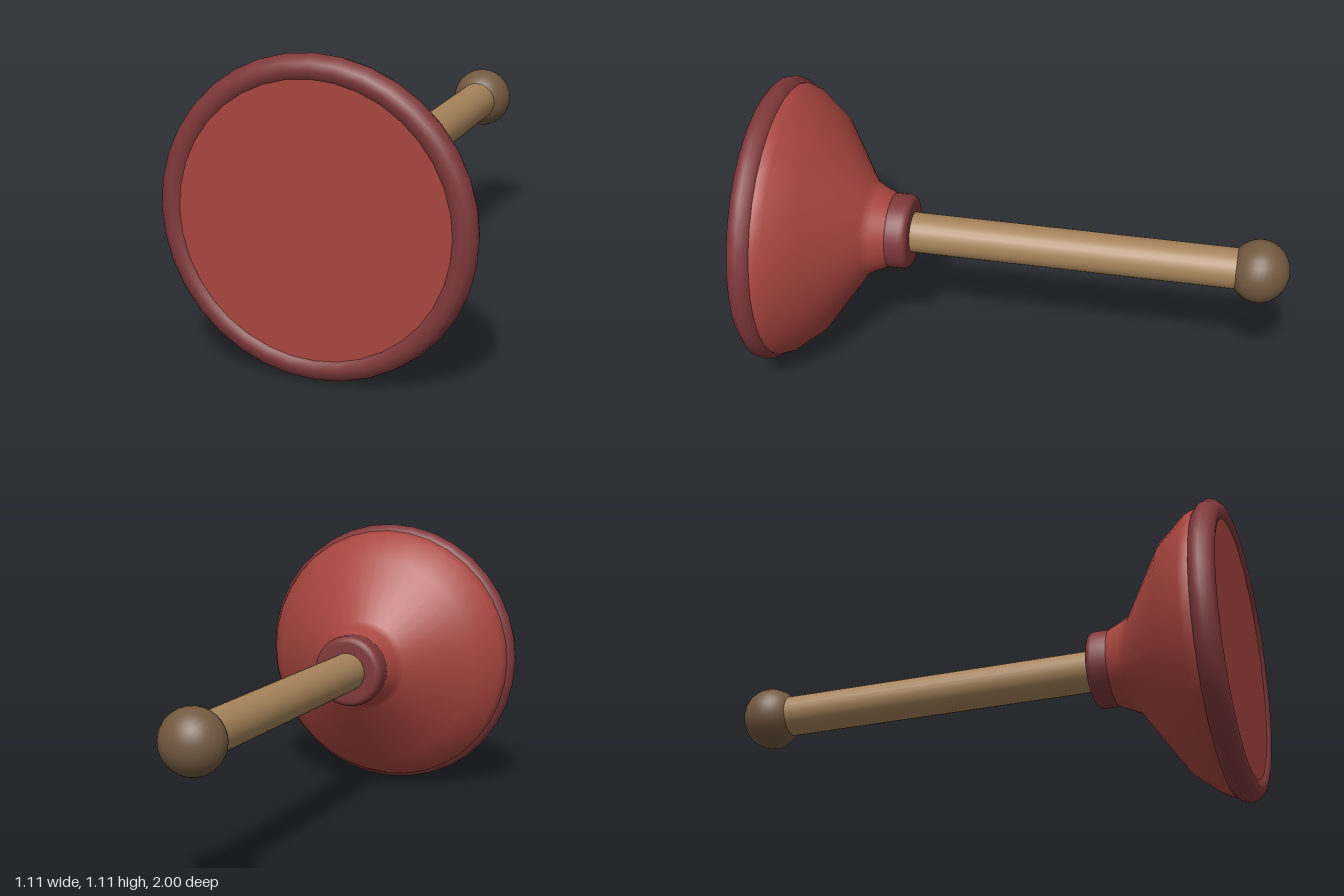
import * as THREE from 'three';

const AXIS_Y = 0.56; // height of the common axis, which runs along z

function material(name, color, side = THREE.FrontSide) {
  const m = new THREE.MeshStandardMaterial({ color, side });
  m.name = name;
  return m;
}

// Turned part: profile of [z, radius] pairs, running from back to front
function turned(profile, segments) {
  const points = profile.map(([z, r]) => new THREE.Vector2(r, z));
  return new THREE.LatheGeometry(points, segments).rotateX(Math.PI / 2);
}

export function createModel() {
  const group = new THREE.Group();
  const red = material('rubberRed', 0xa8453f);
  const darkRed = material('darkRubber', 0x7f383a);
  const wood = material('lightWood', 0xa6835a);
  const darkWood = material('darkWood', 0x735940);

  const add = (name, geometry, mat, z = 0) => {
    const mesh = new THREE.Mesh(geometry, mat);
    mesh.name = name;
    mesh.position.set(0, AXIS_Y, z);
    group.add(mesh);
    return mesh;
  };

  // Flared rubber cup with its flat front face set just inside the rim
  add('cup', turned([
    [0.5, 0.135], [0.535, 0.153], [0.57, 0.168], [0.603, 0.186],
    [0.765, 0.432], [0.87, 0.517], [0.905, 0.532], [0.95, 0.52],
  ], 36), red);
  add('cupFace', new THREE.CircleGeometry(0.5, 36), red, 0.987);

  // Rounded lip around the cup
  add('rim', new THREE.TorusGeometry(0.507, 0.048, 12, 36), darkRed, 0.952);

  // Collar with rounded edges gripping the handle
  const collar = [[0.435, 0.06]];
  const fillet = 0.025;
  for (const [z, start] of [[0.46, -90], [0.51, 0]]) {
    for (let i = 0; i <= 4; i++) {
      const a = THREE.MathUtils.degToRad(start + i * 22.5);
      collar.push([z + fillet * Math.sin(a), 0.12 + fillet * Math.cos(a)]);
    }
  }
  collar.push([0.535, 0.06]);
  add('collar', turned(collar, 32), darkRed);

  // Straight wooden handle
  const handle = new THREE.CylinderGeometry(0.078, 0.078, 1.38, 28).rotateX(Math.PI / 2);
  add('handle', handle, wood, -0.19);

  // Slightly flattened knob at the end
  const knob = new THREE.SphereGeometry(0.12, 28, 20).rotateX(Math.PI / 2);
  add('knob', knob, darkWood, -0.888).scale.z = 0.933;

  return group;
}
